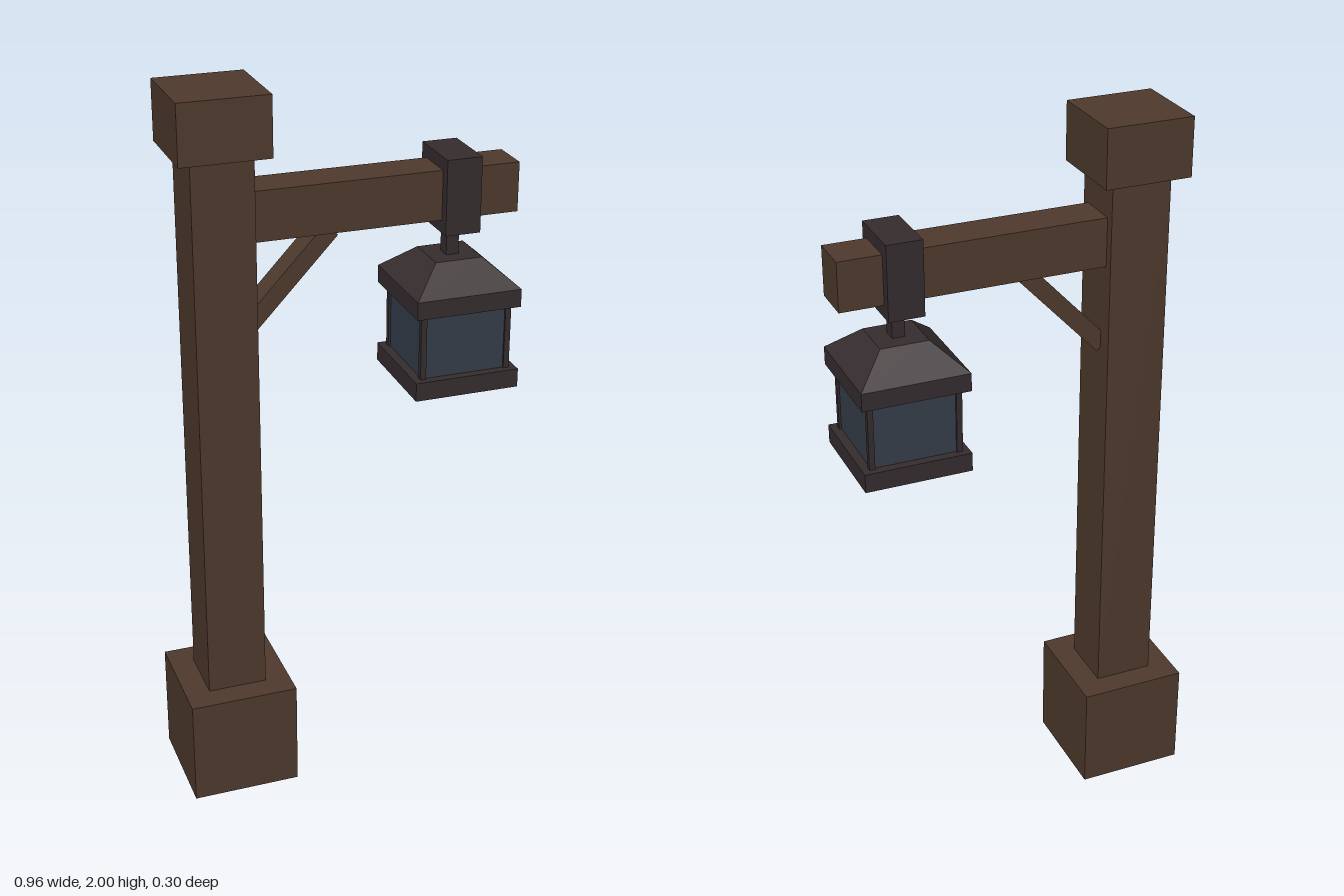
import * as THREE from 'three';

export function createModel() {
  const model = new THREE.Group();
  model.name = 'lanternPost';
  const make = (name, color) => {
    const m = new THREE.MeshStandardMaterial({ color });
    m.name = name;
    return m;
  };
  const wood = make('wood', 0x4f3a2d);
  const iron = make('darkIron', 0x362d2f);
  const glass = make('smokyGlass', 0x353e4a);

  // Box given by its x and y ranges and half depth, centred on z = 0
  const box = (name, mat, x0, x1, y0, y1, hz, parent = model) => {
    const mesh = new THREE.Mesh(new THREE.BoxGeometry(x1 - x0, y1 - y0, hz * 2), mat);
    mesh.name = name;
    mesh.position.set((x0 + x1) / 2, (y0 + y1) / 2, 0);
    parent.add(mesh);
    return mesh;
  };

  // Timber post and arm
  box('postBase', wood, -0.48, -0.178, 0, 0.305, 0.152);
  box('post', wood, -0.412, -0.247, 0.305, 1.84, 0.083);
  box('postCap', wood, -0.45, -0.21, 1.84, 2, 0.12);
  box('arm', wood, -0.247, 0.48, 1.605, 1.74, 0.058);

  // Diagonal brace: its lower edge runs from under the arm down to the post
  const angle = 0.815, length = 0.325, thick = 0.048;
  const brace = box('brace', wood, 0, length, 0, thick, 0.037);
  brace.geometry.translate(length / 2, thick / 2, 0);
  brace.position.set(-0.237, 1.355, 0);
  brace.rotation.z = angle;

  // Iron strap around the arm, with a hanger
  box('strap', iron, 0.265, 0.362, 1.57, 1.775, 0.087);
  box('hanger', iron, 0.296, 0.331, 1.48, 1.57, 0.02);

  // Lantern, built around its own vertical axis
  const lantern = new THREE.Group();
  lantern.name = 'lantern';
  lantern.position.x = 0.314;
  model.add(lantern);
  box('lanternFloor', iron, -0.147, 0.147, 1.138, 1.19, 0.147, lantern);
  box('lanternGlass', glass, -0.122, 0.122, 1.19, 1.37, 0.122, lantern);
  for (const sx of [-1, 1]) {
    for (const sz of [-1, 1]) {
      const bar = box('cornerBar', iron, -0.008, 0.008, 1.19, 1.37, 0.008, lantern);
      bar.position.x = sx * 0.12;
      bar.position.z = sz * 0.12;
    }
  }
  box('roofRim', iron, -0.147, 0.147, 1.37, 1.42, 0.147, lantern);

  // Roof: a block with its top drawn in
  const roof = box('roof', iron, -0.147, 0.147, 1.42, 1.492, 0.147, lantern);
  const p = roof.geometry.attributes.position;
  for (let i = 0; i < p.count; i++) {
    if (p.getY(i) > 0) p.setXYZ(i, p.getX(i) * 0.45, p.getY(i), p.getZ(i) * 0.45);
  }
  roof.geometry.computeVertexNormals();

  return model;
}
